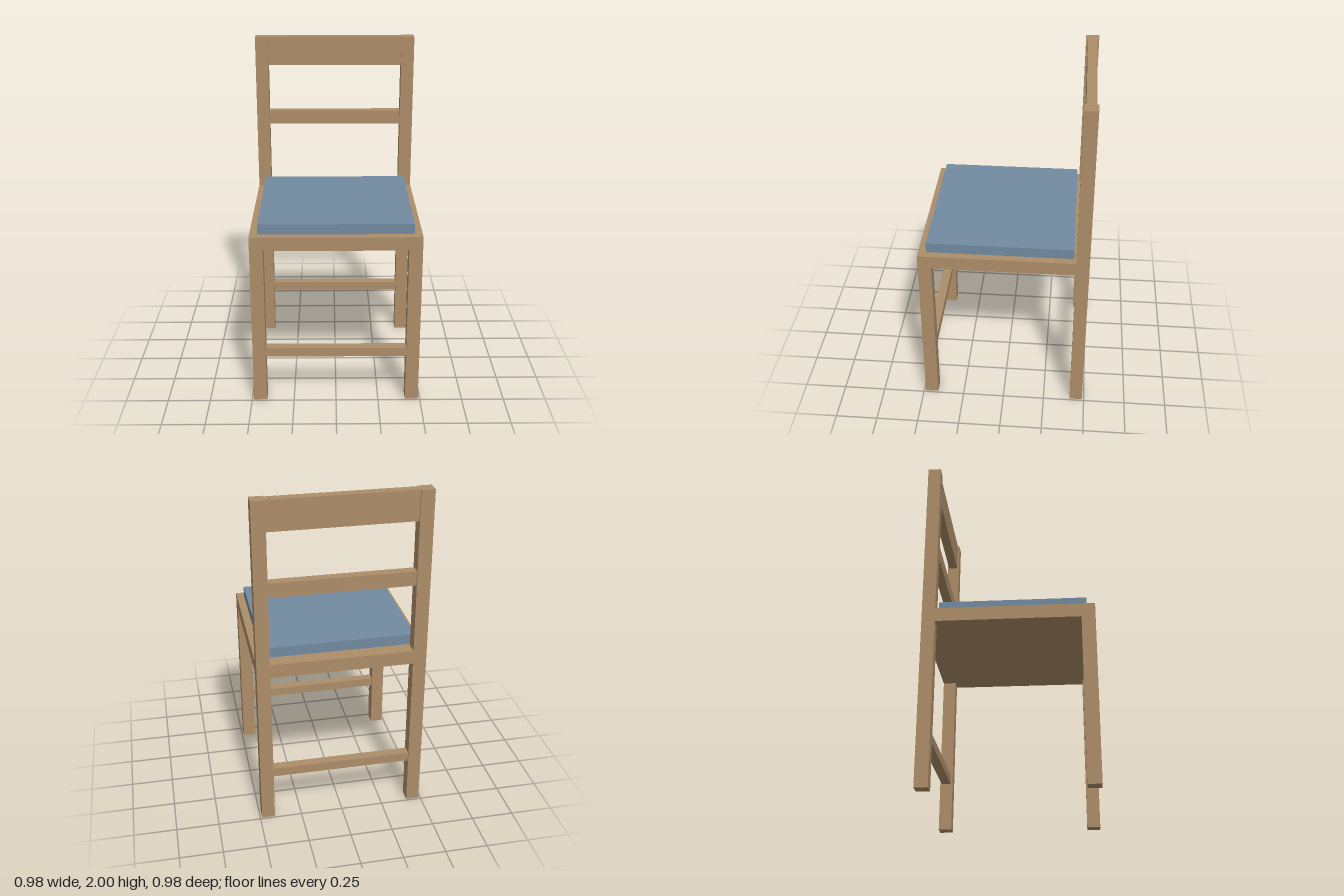
import * as THREE from 'three';

export function createModel() {
  const wood = new THREE.MeshStandardMaterial({ color: 0xac8d68 });
  wood.name = 'wood';
  const fabric = new THREE.MeshStandardMaterial({ color: 0x728aa0 });
  fabric.name = 'blueFabric';

  const chair = new THREE.Group();
  chair.name = 'chair';

  // Box given by its lower and upper limits on each axis
  const box = (name, material, [x0, x1], [y0, y1], [z0, z1]) => {
    const mesh = new THREE.Mesh(new THREE.BoxGeometry(x1 - x0, y1 - y0, z1 - z0), material);
    mesh.position.set((x0 + x1) / 2, (y0 + y1) / 2, (z0 + z1) / 2);
    mesh.name = name;
    chair.add(mesh);
  };

  const outer = 0.489, inner = 0.411;
  const seatBottom = 0.963, seatTop = 1.044;

  // Front legs stop under the seat, back posts run up to the top
  for (const [side, x] of [['left', [inner, outer]], ['right', [-outer, -inner]]]) {
    box(side + 'FrontLeg', wood, x, [0, seatBottom], [inner, outer]);
    box(side + 'BackPost', wood, x, [0, 2], [-outer, -inner - 0.002]);
  }

  // Seat slab, notched at the back corners around the posts
  const outline = new THREE.Shape([
    [-outer, -outer], [outer, -outer], [outer, inner + 0.002], [inner, inner + 0.002],
    [inner, outer], [-inner, outer], [-inner, inner + 0.002], [-outer, inner + 0.002],
  ].map(([x, y]) => new THREE.Vector2(x, y)));
  const seat = new THREE.Mesh(
    new THREE.ExtrudeGeometry(outline, { depth: seatTop - seatBottom, bevelEnabled: false }).rotateX(-Math.PI / 2),
    wood);
  seat.position.y = seatBottom;
  seat.name = 'seat';
  chair.add(seat);

  // Cushion
  box('cushion', fabric, [-0.443, 0.443], [seatTop, 1.105], [-0.4, 0.443]);

  // Rails between the posts and stretchers between the legs
  const span = [-inner, inner], back = [-0.48, -0.424];
  box('topRail', wood, span, [1.825, 2], back);
  box('middleRail', wood, span, [1.45, 1.535], back);
  box('backStretcher', wood, span, [0.285, 0.34], back);
  box('frontStretcher', wood, span, [0.285, 0.34], [0.424, 0.48]);

  return chair;
}
